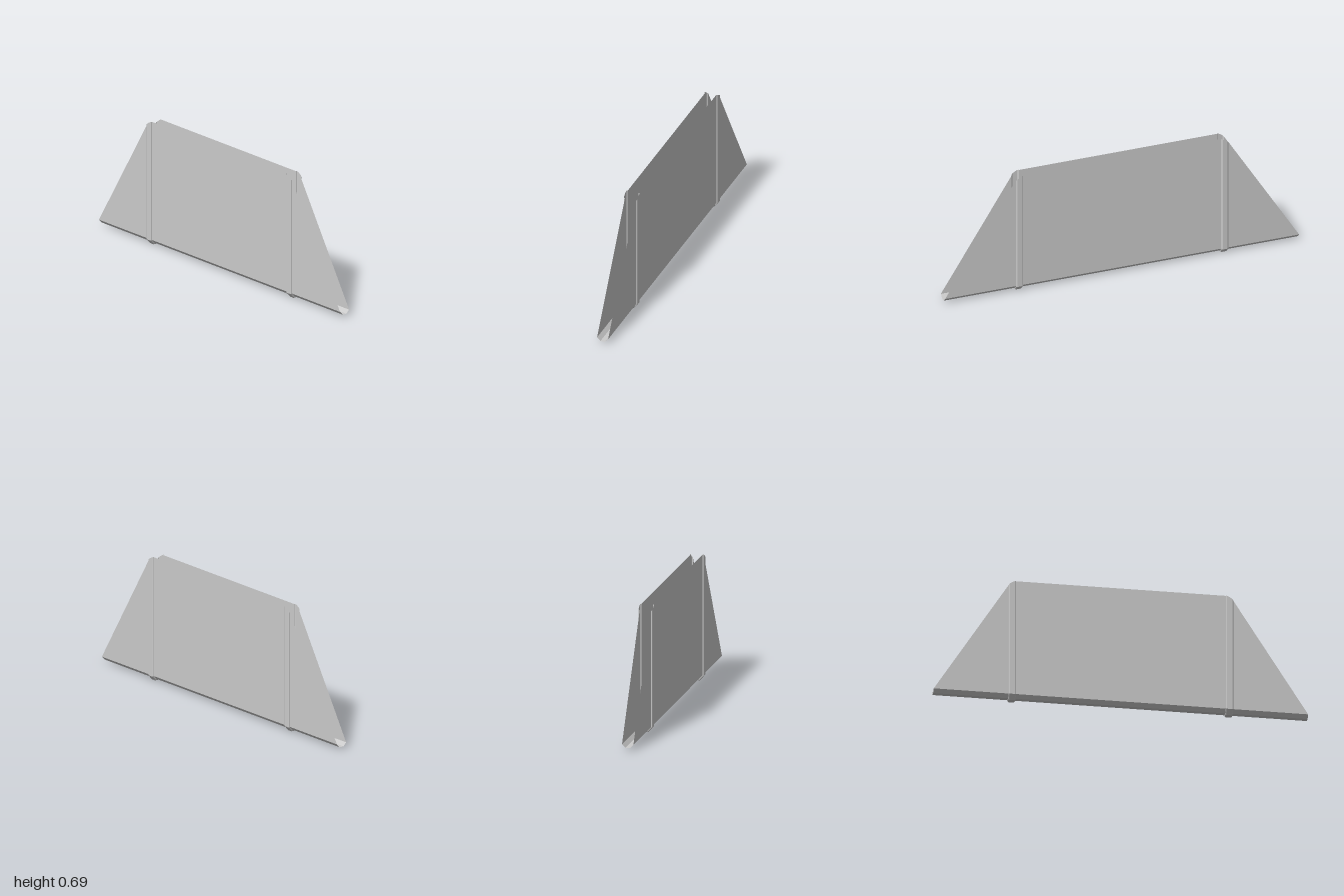
import * as THREE from 'three';

// Folded U-shaped cross-section at x; bulge 0 = sheet, 1 = full rib height
function profile(x, bulge, top) {
  const mix = (a, b) => a + (b - a) * bulge;
  const half = mix(0.031, 0.038), bend = mix(0.029, 0.026);
  const foot = mix(0.0125, 0.015), base = mix(0.01, 0);
  const side = [[top, half], [bend, half], [base, foot]];
  const other = side.map(([y, z]) => [y, -z]).reverse();
  return [...side, ...other].map(([y, z]) => [x, y, z]);
}

// Skin between consecutive cross-sections
function skin(name, sections, material) {
  const rows = sections.map((s) => profile(...s));
  const pos = [];
  for (let i = 0; i < rows.length - 1; i++) {
    for (let j = 0; j < rows[i].length - 1; j++) {
      const a = rows[i][j], b = rows[i][j + 1];
      const c = rows[i + 1][j + 1], d = rows[i + 1][j];
      pos.push(...a, ...b, ...c, ...a, ...c, ...d);
    }
  }
  const geo = new THREE.BufferGeometry();
  geo.setAttribute('position', new THREE.Float32BufferAttribute(pos, 3));
  geo.computeVertexNormals();
  const mesh = new THREE.Mesh(geo, material);
  mesh.name = name;
  return mesh;
}

export function createModel() {
  const group = new THREE.Group();
  group.name = 'foldedSheet';
  const material = new THREE.MeshStandardMaterial({
    color: 0xcccccc, flatShading: true, side: THREE.DoubleSide,
  });

  // Each section is [x, bulge, top height]
  const wing = [[0.6, 0, 0.66], [1, 0, 0.029]];
  const rib = [
    [0.56, 0, 0.685], [0.561, 0.6, 0.685], [0.566, 1, 0.683],
    [0.58, 1, 0.676], [0.594, 1, 0.667], [0.599, 0.6, 0.661], [0.6, 0, 0.66],
  ];
  const mirror = (list) => list.map(([x, b, t]) => [-x, b, t]).reverse();

  // Centre panel, pressed hollow ribs and sloping end panels
  group.add(skin('centrePanel', [[-0.56, 0, 0.685], [0.56, 0, 0.685]], material));
  group.add(skin('leftRib', rib, material));
  group.add(skin('rightRib', mirror(rib), material));
  group.add(skin('leftEndPanel', wing, material));
  group.add(skin('rightEndPanel', mirror(wing), material));
  return group;
}
